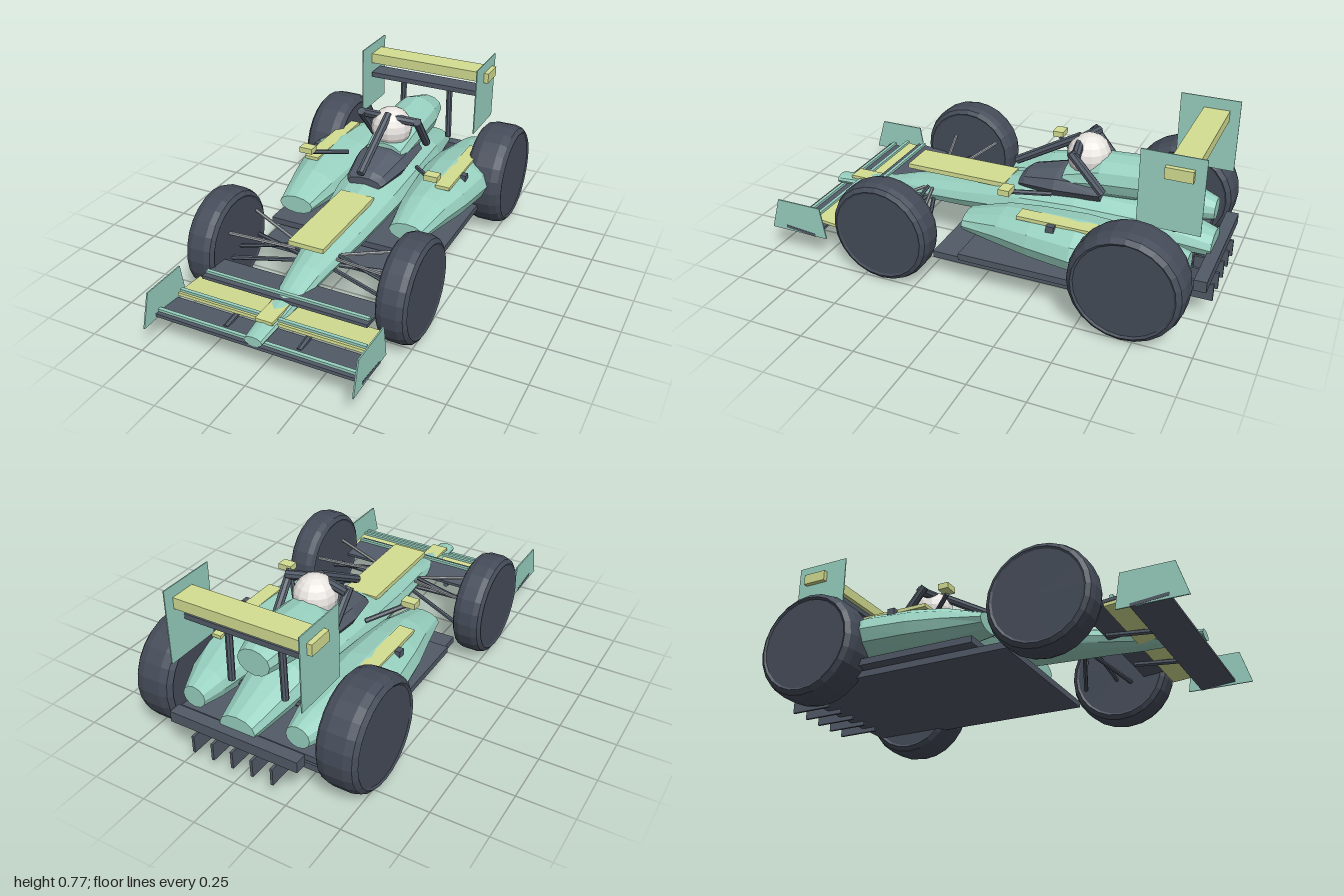
import * as THREE from 'three';

const mat = (color, side = THREE.FrontSide) =>
  new THREE.MeshStandardMaterial({ color, flatShading: true, side });
const V = (x, y, z) => new THREE.Vector3(x, y, z);

// Closed body from elliptical sections [z, centreX, radiusX, centreY, radiusY], front to rear
function loft(sections, n = 12) {
  const pos = [], idx = [];
  for (const [z, cx, rx, cy, ry] of sections)
    for (let j = 0; j < n; j++) {
      const a = (j / n) * Math.PI * 2;
      pos.push(cx + rx * Math.cos(a), cy + ry * Math.sin(a), z);
    }
  const last = sections.length - 1, front = pos.length / 3, rear = front + 1;
  for (const s of [sections[0], sections[last]]) pos.push(s[1], s[3], s[0]);
  for (let j = 0; j < n; j++) {
    const k = (j + 1) % n;
    for (let i = 0; i < last; i++) {
      const a = i * n + j, b = i * n + k, c = a + n, d = b + n;
      idx.push(a, c, b, b, c, d);
    }
    idx.push(front, j, k, rear, last * n + k, last * n + j);
  }
  const g = new THREE.BufferGeometry();
  g.setAttribute('position', new THREE.Float32BufferAttribute(pos, 3));
  g.setIndex(idx);
  g.computeVertexNormals();
  return g;
}

// Box given by its limits
function slab(x0, x1, y0, y1, z0, z1) {
  return new THREE.BoxGeometry(x1 - x0, y1 - y0, z1 - z0)
    .translate((x0 + x1) / 2, (y0 + y1) / 2, (z0 + z1) / 2);
}

// Round bar between two points
function rod(a, b, r, n = 8) {
  const d = b.clone().sub(a);
  const q = new THREE.Quaternion().setFromUnitVectors(V(0, 1, 0), d.clone().normalize());
  const m = a.clone().add(b).multiplyScalar(0.5);
  return new THREE.CylinderGeometry(r, r, d.length(), n).applyQuaternion(q).translate(m.x, m.y, m.z);
}

// Tyre with chamfered shoulders and flat discs, axle along x
function wheel(r, w) {
  const h = w / 2;
  const profile = [[0, -h * 0.93], [r * 0.84, -h * 0.93], [r * 0.88, -h], [r * 0.96, -h * 0.82], [r, -h * 0.45],
    [r, h * 0.45], [r * 0.96, h * 0.82], [r * 0.88, h], [r * 0.84, h * 0.93], [0, h * 0.93]]
    .map(([x, y]) => new THREE.Vector2(x, y));
  return new THREE.LatheGeometry(profile, 24).rotateZ(Math.PI / 2);
}

// Thin upright plate from [z, y] corners at a given x
function plate(corners, x, t) {
  const shape = new THREE.Shape(corners.map(([z, y]) => new THREE.Vector2(-z, y)));
  return new THREE.ExtrudeGeometry(shape, { depth: t, bevelEnabled: false })
    .rotateY(Math.PI / 2).translate(x - t / 2, 0, 0);
}

export function createModel() {
  const car = new THREE.Group();
  car.name = 'racingCar';
  const green = mat(0x98d1c0), yellow = mat(0xd4de92), dark = mat(0x525b68),
    rubber = mat(0x454c59), white = mat(0xeae6e2), steel = mat(0x9a9ea2);
  const add = (name, geometry, material) => {
    const m = new THREE.Mesh(geometry, material);
    m.name = name;
    car.add(m);
    return m;
  };

  // Bodywork
  add('mainBody', loft([
    [0.925, 0, 0.042, 0.167, 0.022], [0.7, 0, 0.058, 0.188, 0.033], [0.63, 0, 0.064, 0.195, 0.038],
    [0.5, 0, 0.08, 0.22, 0.053], [0.2, 0, 0.125, 0.258, 0.07], [-0.1, 0, 0.163, 0.3, 0.088],
    [-0.35, 0, 0.166, 0.31, 0.1], [-0.65, 0, 0.145, 0.3, 0.1], [-0.95, 0, 0.085, 0.245, 0.055]]), green);
  add('engineCover', loft([
    [-0.28, 0, 0.1, 0.44, 0.06], [-0.45, 0, 0.117, 0.475, 0.095], [-0.68, 0, 0.113, 0.49, 0.095],
    [-0.82, 0, 0.078, 0.48, 0.06]]), green);
  add('cockpitSurround', loft([
    [-0.07, 0, 0.085, 0.385, 0.03], [-0.1, 0, 0.1, 0.395, 0.045], [-0.25, 0, 0.13, 0.41, 0.07],
    [-0.46, 0, 0.125, 0.42, 0.06]], 10), dark);
  add('nosePanel', slab(-0.083, 0.083, 0.345, 0.367, 0, 0.49), yellow);
  add('noseTipPanel', slab(-0.04, 0.04, 0.198, 0.213, 0.7, 0.84), yellow);
  add('helmet', new THREE.SphereGeometry(0.098, 14, 10).translate(0, 0.55, -0.37), white);

  // Floor and diffuser
  add('lowerFloor', slab(-0.385, 0.385, 0.1, 0.13, -0.87, 0.21), dark);
  add('upperFloor', slab(-0.42, 0.42, 0.14, 0.17, -0.87, 0.07), dark);
  add('floorSpacer', slab(-0.36, 0.36, 0.125, 0.145, -0.86, 0.05), dark);
  add('rearBar', slab(-0.305, 0.305, 0.185, 0.235, -0.99, -0.935), dark);
  for (let i = -2; i <= 2; i++)
    add('diffuserFin', slab(i * 0.095 - 0.006, i * 0.095 + 0.006, 0.08, 0.16, -1, -0.8), dark);

  // Front wing: three stepped elements, each with a thin strip on top
  const elements = [
    ['lowerWing', 0.478, 0.132, 0.845, 0.155, dark, 0.895],
    ['middleWing', 0.436, 0.178, 0.73, 0.16, yellow, 0.79],
    ['upperWing', 0.388, 0.21, 0.615, 0.17, dark, 0.665]];
  for (const [name, hx, y, z, depth, material, stripZ] of elements) {
    const m = add(name, new THREE.BoxGeometry(hx * 2, 0.014, depth), material);
    m.position.set(0, y, z);
    m.rotation.x = -0.09;
    add(name + 'Strip', slab(-hx + 0.004, hx - 0.004, y + 0.014, y + 0.026, stripZ - 0.008, stripZ + 0.008), green);
  }

  // Rear wing
  add('rearWing', slab(-0.33, 0.33, 0.675, 0.725, -0.9, -0.785), yellow);
  add('rearWingFlap', slab(-0.29, 0.29, 0.61, 0.635, -0.86, -0.757), dark);

  // Head guard post
  add('headGuardPost', rod(V(0, 0.455, -0.03), V(0, 0.628, -0.33), 0.02), dark);

  for (const s of [1, -1]) {
    // Sidepods and their trim
    const pod = [
      [0.08, 0.28, 0.085, 0.278, 0.043], [-0.1, 0.285, 0.12, 0.29, 0.085], [-0.25, 0.295, 0.145, 0.292, 0.1],
      [-0.45, 0.3, 0.168, 0.29, 0.108], [-0.62, 0.29, 0.15, 0.285, 0.1], [-0.8, 0.26, 0.09, 0.275, 0.075],
      [-0.9, 0.25, 0.055, 0.27, 0.05]];
    add('sidepod', loft(pod.map(([z, cx, ...rest]) => [z, s * cx, ...rest])), green);
    const trim = add('sidepodPanel', new THREE.BoxGeometry(0.07, 0.016, 0.455), yellow);
    trim.position.set(s * 0.34, 0.387, -0.413);
    add('sidepodFin', new THREE.BoxGeometry(0.025, 0.03, 0.035).translate(s * 0.388, 0.378, -0.345), dark);

    // Mirrors
    add('mirror', new THREE.BoxGeometry(0.065, 0.027, 0.05).translate(s * 0.317, 0.474, -0.115), yellow);
    add('mirrorStalk', rod(V(s * 0.3, 0.46, -0.12), V(s * 0.18, 0.42, -0.265), 0.011, 6), dark);

    // Head guard arms
    add('headGuardTop', rod(V(0, 0.615, -0.33), V(s * 0.15, 0.6, -0.36), 0.021), dark);
    add('headGuardArm', rod(V(s * 0.145, 0.615, -0.335), V(s * 0.138, 0.445, -0.48), 0.02), dark);

    // Wheels and suspension
    add('frontWheel', wheel(0.235, 0.14).translate(s * 0.45, 0.238, 0.407), rubber);
    add('rearWheel', wheel(0.248, 0.187).translate(s * 0.437, 0.25, -0.703), rubber);
    for (const [z0, z1] of [[0.36, 0.25], [0.4, 0.48]]) {
      add('upperArm', rod(V(s * 0.1, 0.272, z0), V(s * 0.4, 0.315, z1), 0.008, 6), steel);
      add('lowerArm', rod(V(s * 0.09, 0.215, z0), V(s * 0.4, 0.18, z1 - 0.01), 0.01, 6), dark);
    }
    add('pushRod', rod(V(s * 0.1, 0.28, 0.38), V(s * 0.4, 0.2, 0.4), 0.009, 6), dark);
    add('rearAxle', rod(V(s * 0.08, 0.25, -0.7), V(s * 0.4, 0.25, -0.7), 0.015, 6), dark);

    // Wing plates and supports
    add('frontEndPlate', plate([[1, 0.12], [0.71, 0.12], [0.735, 0.27], [0.955, 0.27]], s * 0.474, 0.006), green);
    add('rearEndPlate', plate([[-0.68, 0.44], [-0.945, 0.44], [-0.945, 0.775], [-0.68, 0.775]], s * 0.305, 0.005), green);
    add('rearWingStrut', rod(V(s * 0.13, 0.34, -0.8), V(s * 0.125, 0.62, -0.8), 0.016), dark);
    add('frontWingStrut', rod(V(s * 0.17, 0.138, 0.86), V(s * 0.17, 0.17, 0.56), 0.012, 6), dark);
  }
  return car;
}
